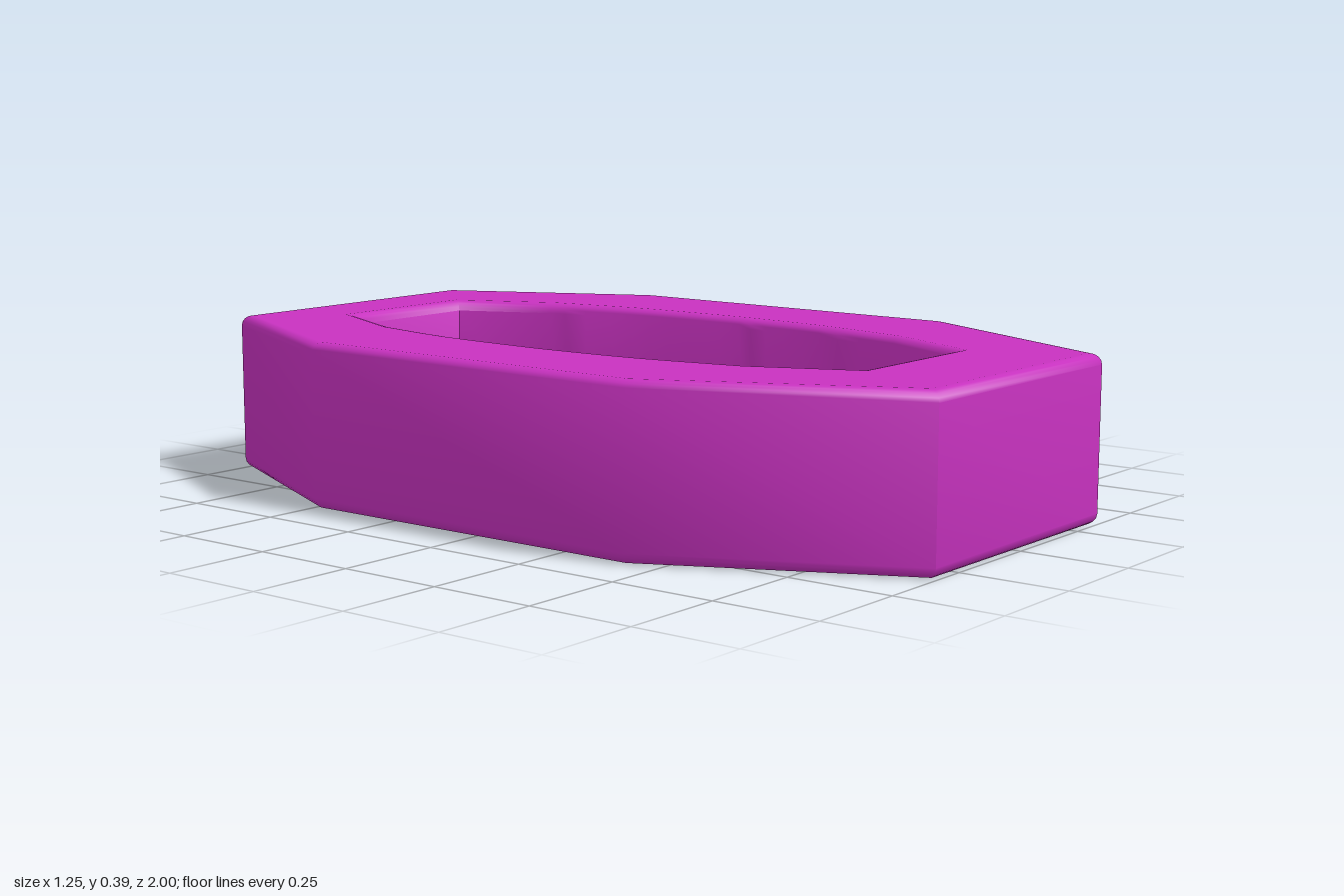
import * as THREE from 'three';
import { toCreasedNormals } from 'three/addons/utils/BufferGeometryUtils.js';

const HEIGHT = 0.385, BEVEL = 0.025;

// Right half as [x, z], front to back; mirrored to close the loop
const mirrored = (half) => [
  ...half.map(([x, z]) => new THREE.Vector2(x, -z)),
  ...half.slice().reverse().map(([x, z]) => new THREE.Vector2(-x, -z)),
];

// Bowed side of the opening, sampled between its straight end cuts
function bowedSide() {
  const curve = new THREE.SplineCurve(
    [[0.285, 0.49], [0.33, 0.25], [0.345, 0.04], [0.345, -0.1], [0.332, -0.33], [0.29, -0.56]]
      .map(([x, z]) => new THREE.Vector2(x, z)));
  return curve.getPoints(20).map((p) => [p.x, p.y]);
}

export function createModel() {
  const group = new THREE.Group();
  group.name = 'elongatedOctagonRing';

  // Outer octagon, slightly narrower at the front
  const outline = new THREE.Shape(mirrored([[0.34, 1], [0.625, 0.425], [0.625, -0.485], [0.375, -1]]));
  outline.holes.push(new THREE.Path(mirrored([[0.185, 0.715], ...bowedSide(), [0.185, -0.785]])));

  let geometry = new THREE.ExtrudeGeometry(outline, {
    depth: HEIGHT - 2 * BEVEL,
    bevelThickness: BEVEL,
    bevelSize: BEVEL,
    bevelOffset: -BEVEL,
    bevelSegments: 4,
  });
  geometry.rotateX(-Math.PI / 2);
  geometry.translate(0, BEVEL, 0);

  // Front corners blend, rear corners stay crisp
  geometry = toCreasedNormals(geometry, THREE.MathUtils.degToRad(63.9));

  // Keep the top and bottom faces evenly flat
  const { position, normal } = geometry.attributes;
  for (let i = 0; i < position.count; i++) {
    const y = position.getY(i);
    if (y > HEIGHT - 1e-4) normal.setXYZ(i, 0, 1, 0);
    else if (y < 1e-4) normal.setXYZ(i, 0, -1, 0);
  }

  const ring = new THREE.Mesh(geometry, new THREE.MeshStandardMaterial({ color: 0xc832c0 }));
  ring.name = 'ringBody';
  group.add(ring);
  return group;
}
